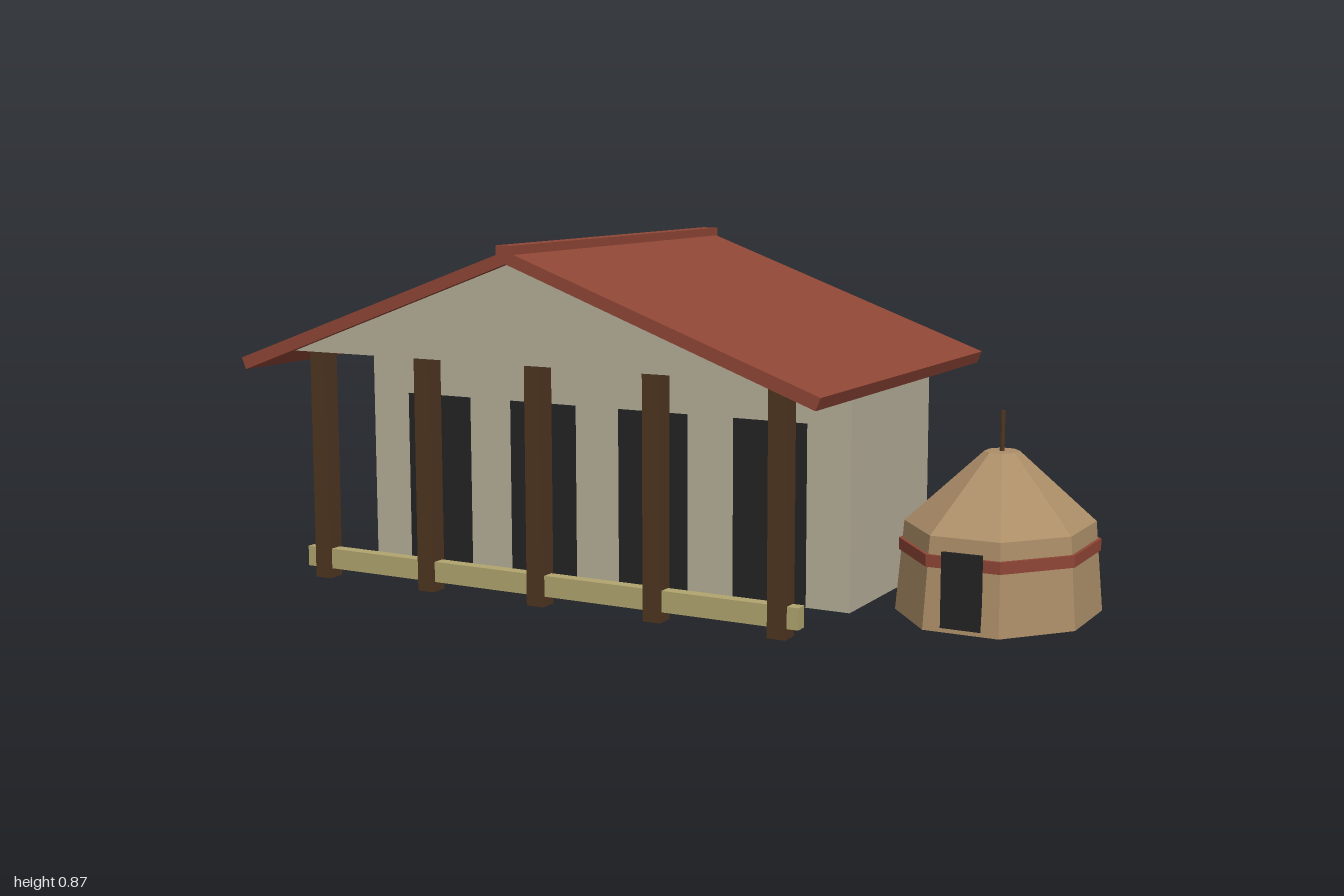
import * as THREE from 'three';

const mat = (name, color, extra = {}) => {
  const m = new THREE.MeshStandardMaterial({ color, flatShading: true, ...extra });
  m.name = name;
  return m;
};

export function createModel() {
  const plaster = mat('plaster', 0xb5ad98);
  const tile = mat('roof red', 0x8f4635);
  const wood = mat('dark wood', 0x4f3520);
  const dark = mat('dark opening', 0x232323);
  const rail = mat('pale rail', 0xb0a46e);
  const canvas = mat('tan canvas', 0xac8e68);

  const model = new THREE.Group();
  model.name = 'houseAndTent';

  const add = (parent, name, geometry, material) => {
    const mesh = new THREE.Mesh(geometry, material);
    mesh.name = name;
    parent.add(mesh);
    return mesh;
  };
  // Box given by its lower and upper corners
  const box = (parent, name, material, [x0, y0, z0], [x1, y1, z1]) => {
    const g = new THREE.BoxGeometry(x1 - x0, y1 - y0, z1 - z0);
    g.translate((x0 + x1) / 2, (y0 + y1) / 2, (z0 + z1) / 2);
    return add(parent, name, g, material);
  };
  // Profile in x and y, extruded from z0 to z1
  const prism = (parent, name, material, points, z0, z1) => {
    const shape = new THREE.Shape(points.map(([x, y]) => new THREE.Vector2(x, y)));
    const g = new THREE.ExtrudeGeometry(shape, { depth: z1 - z0, bevelEnabled: false });
    g.translate(0, 0, z0);
    return add(parent, name, g, material);
  };

  // House
  const house = new THREE.Group();
  house.name = 'house';
  model.add(house);
  const cx = -0.208;
  box(house, 'walls', plaster, [-0.9, 0, -0.393], [0.483, 0.592, 0.1]);

  // Pitched roof with square-cut eaves, and its ridge cap
  prism(house, 'roof', tile, [
    [cx - 0.78, 0.539], [cx, 0.825], [cx + 0.78, 0.539],
    [cx + 0.792, 0.568], [cx, 0.855], [cx - 0.792, 0.568],
  ], -0.502, 0.502);
  box(house, 'ridgeCap', tile, [cx - 0.022, 0.832, -0.508], [cx + 0.022, 0.868, 0.508]);

  // Gable panels close to the roof ends
  for (const [name, z] of [['frontGable', 0.445], ['backGable', -0.485]]) {
    prism(house, name, plaster,
      [[cx - 0.66, 0.592], [cx + 0.66, 0.592], [cx, 0.835]], z, z + 0.04);
  }

  // Porch posts, doorways between them, and the low rail
  for (let i = 0; i < 5; i++) {
    const x = cx + (i - 2) * 0.32;
    box(house, 'porchPost', wood, [x - 0.023, 0, 0.348], [x + 0.023, 0.592, 0.395]);
    if (i < 4) {
      box(house, 'doorway', dark, [x + 0.063, 0.002, 0.099], [x + 0.257, 0.445, 0.104]);
    }
  }
  box(house, 'porchRail', rail, [-0.9, 0.025, 0.356], [0.483, 0.076, 0.388]);

  // Eight-sided tent, a little deeper than wide
  const tent = new THREE.Group();
  tent.name = 'tent';
  tent.position.set(0.78, 0, -0.102);
  model.add(tent);
  const ring = (name, material, rTop, rBottom, y0, y1) => {
    const g = new THREE.CylinderGeometry(rTop, rBottom, y1 - y0, 8, 1, false, Math.PI / 8);
    g.scale(0.238, 1, 0.284);
    g.translate(0, (y0 + y1) / 2, 0);
    return add(tent, name, g, material);
  };
  ring('tentWall', canvas, 0.922, 1, 0, 0.216);
  ring('tentRoof', canvas, 0.17, 0.922, 0.216, 0.383);
  ring('tentBand', tile, 0.972, 0.972, 0.146, 0.174);

  const pole = new THREE.CylinderGeometry(0.006, 0.006, 0.11, 8);
  pole.translate(0, 0.424, 0);
  add(tent, 'tentPole', pole, wood);
  box(tent, 'tentDoor', dark, [-0.048, 0.01, 0.255], [0.048, 0.186, 0.264]);

  return model;
}
